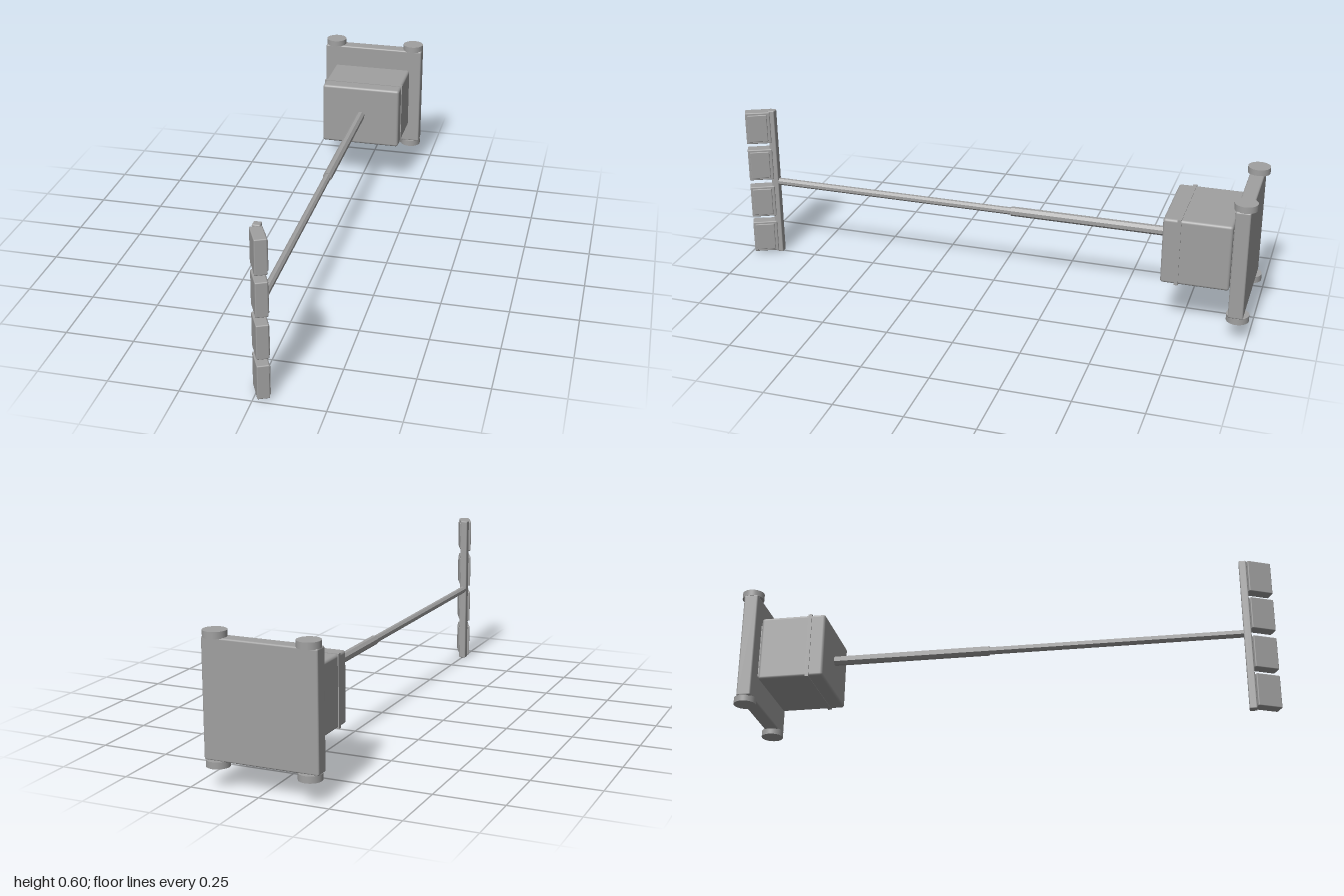
import * as THREE from 'three';
import { RoundedBoxGeometry } from 'three/addons/geometries/RoundedBoxGeometry.js';

export function createModel() {
  const model = new THREE.Group();
  const grey = new THREE.MeshStandardMaterial({ color: 0xa0a0a0 });
  grey.name = 'grey';

  const add = (name, geometry, x, y, z, parent = model) => {
    const mesh = new THREE.Mesh(geometry, grey);
    mesh.name = name;
    mesh.position.set(x, y, z);
    parent.add(mesh);
    return mesh;
  };
  const rounded = (w, h, d, r) => new RoundedBoxGeometry(w, h, d, 3, r);

  // Back plate with four round feet on its top and bottom edges
  const midY = 0.302;
  add('backPlate', rounded(0.414, 0.414, 0.054, 0.006), 0, midY, -0.955);
  for (const x of [-0.167, 0.167]) {
    for (const side of [-1, 1]) {
      add('plateFoot', new THREE.CylinderGeometry(0.041, 0.041, 0.024, 40), x, midY + side * 0.217, -0.959);
    }
  }

  // Housing with a thin rim, joined to the plate
  add('housing', rounded(0.322, 0.252, 0.248, 0.01), 0, midY, -0.796);
  add('housingRim', new THREE.BoxGeometry(0.328, 0.256, 0.014), 0, midY, -0.731);
  add('housingMount', new THREE.BoxGeometry(0.28, 0.21, 0.03), 0, midY, -0.925);

  // Stepped rod running forward
  const rod = (name, r, z0, z1) => {
    const geometry = new THREE.CylinderGeometry(r, r, z1 - z0, 8).toNonIndexed();
    geometry.rotateY(Math.PI / 8).rotateX(Math.PI / 2);
    geometry.computeVertexNormals();
    add(name, geometry, 0, 0.304, (z0 + z1) / 2);
  };
  rod('rearRod', 0.018, -0.69, -0.07);
  rod('frontRod', 0.014, -0.08, 0.89);

  // Upright post
  add('post', rounded(0.028, 0.602, 0.028, 0.004), 0, 0.301, 0.895);

  // Four angled pads, each with a raised panel on its outer face
  for (const y of [0.0715, 0.2235, 0.3805, 0.5335]) {
    const pad = new THREE.Group();
    pad.name = 'pad';
    pad.position.set(0.018, y, 0.948);
    pad.rotation.y = THREE.MathUtils.degToRad(25);
    model.add(pad);
    add('padBody', rounded(0.043, 0.128, 0.094, 0.004), 0, 0, 0, pad);
    add('padPanel', rounded(0.008, 0.11, 0.074, 0.003), 0.021, 0, 0.002, pad);
  }
  return model;
}
